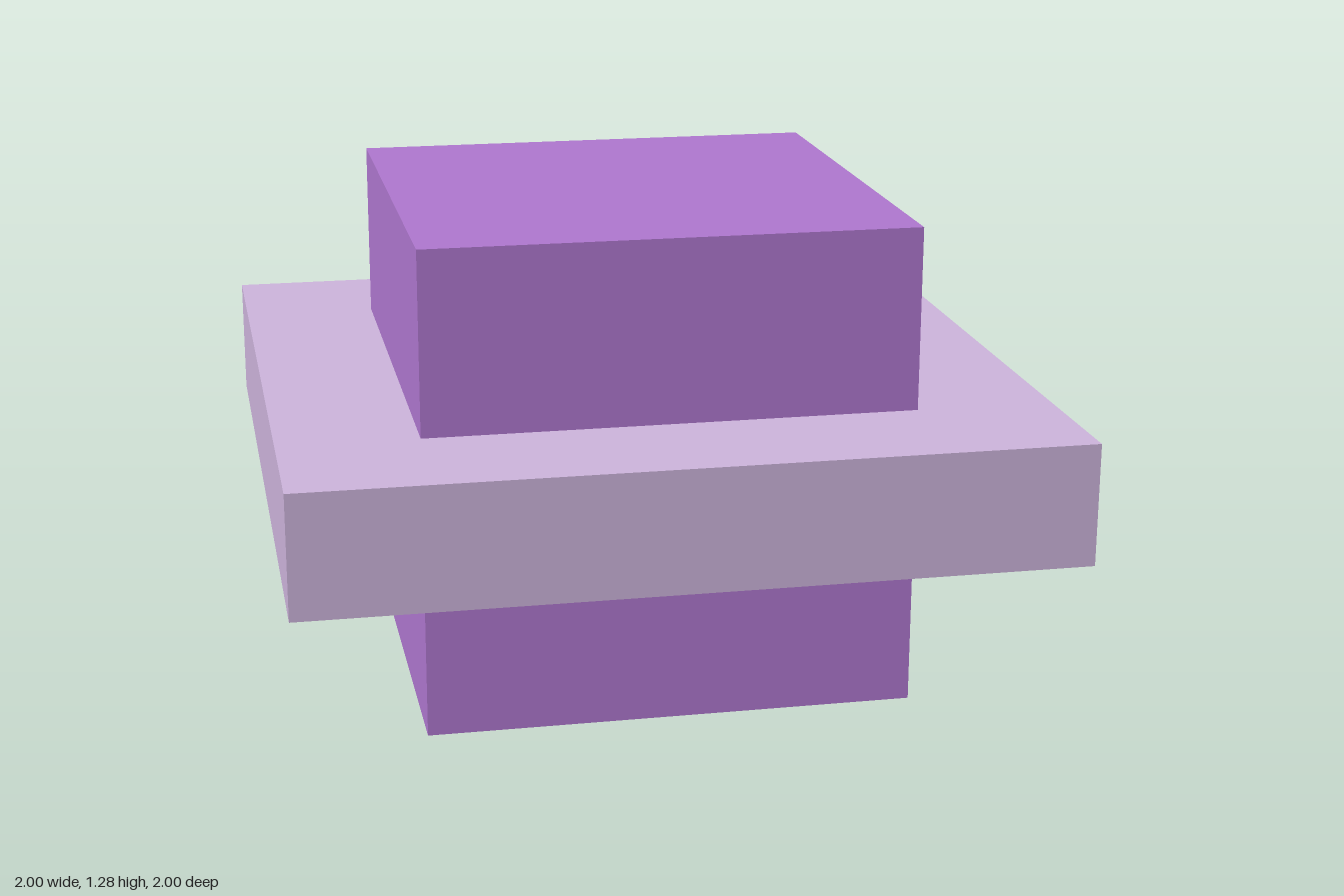
import * as THREE from 'three';

// Square block centred on the y axis, spanning bottom..top
function block(name, width, bottom, top, color) {
  const mesh = new THREE.Mesh(
    new THREE.BoxGeometry(width, top - bottom, width),
    new THREE.MeshStandardMaterial({ color })
  );
  mesh.name = name;
  mesh.position.y = (bottom + top) / 2;
  return mesh;
}

export function createModel() {
  const model = new THREE.Group();
  model.name = 'ringedBlock';

  // Central block running the full height
  model.add(block('core', 1.28, 0, 1.28, 0xb078d0));

  // Wide, pale slab around its middle
  model.add(block('middleSlab', 2, 0.48, 0.8, 0xceb5dd));

  return model;
}
